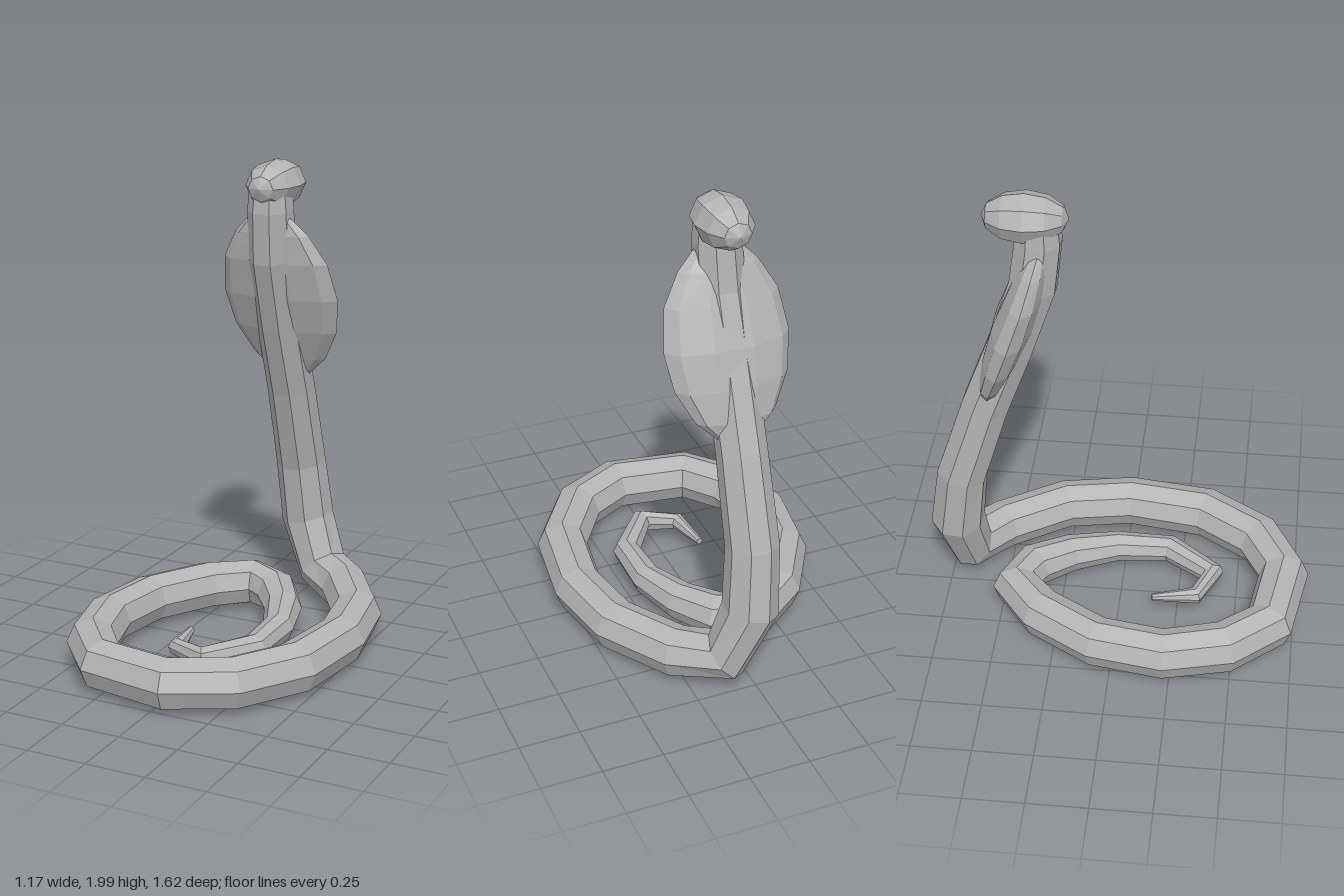
import * as THREE from 'three';

// Skin a list of rings (arrays of Vector3, counter-clockwise about the travel direction), capped at both ends
function skin(rings) {
  const n = rings[0].length, pos = [], index = [];
  const push = (v) => pos.push(v.x, v.y, v.z);
  rings.forEach((ring) => ring.forEach(push));
  for (let i = 0; i < rings.length - 1; i++) {
    for (let j = 0; j < n; j++) {
      const a = i * n + j, b = i * n + (j + 1) % n;
      index.push(a, b, b + n, a, b + n, a + n);
    }
  }
  [0, rings.length - 1].forEach((r) => {
    const c = pos.length / 3;
    push(rings[r].reduce((s, v) => s.add(v), new THREE.Vector3()).divideScalar(n));
    for (let j = 0; j < n; j++) {
      const a = r * n + j, b = r * n + (j + 1) % n;
      if (r === 0) index.push(c, b, a); else index.push(c, a, b);
    }
  });
  const g = new THREE.BufferGeometry();
  g.setAttribute('position', new THREE.Float32BufferAttribute(pos, 3));
  g.setIndex(index);
  g.computeVertexNormals();
  return g;
}

// Round tube of changing radius through [x, y, z, radius] stations, without twisting
function sweep(stations, sides) {
  const pts = stations.map((s) => new THREE.Vector3(s[0], s[1], s[2]));
  let normal = new THREE.Vector3(0, 1, 0);
  return skin(pts.map((p, i) => {
    const t = pts[Math.min(i + 1, pts.length - 1)].clone().sub(pts[Math.max(i - 1, 0)]).normalize();
    normal = normal.clone().addScaledVector(t, -normal.dot(t)).normalize();
    const side = t.clone().cross(normal);
    return Array.from({ length: sides }, (_, j) => {
      const a = (j / sides) * Math.PI * 2;
      return p.clone()
        .addScaledVector(normal, Math.cos(a) * stations[i][3])
        .addScaledVector(side, Math.sin(a) * stations[i][3]);
    });
  }));
}

export function createModel() {
  const model = new THREE.Group();
  model.name = 'snake';
  const grey = new THREE.MeshStandardMaterial({ color: 0xb3b3b3, flatShading: true });
  grey.name = 'grey';
  const add = (name, geometry) => {
    const mesh = new THREE.Mesh(geometry, grey);
    mesh.name = name;
    model.add(mesh);
    return mesh;
  };

  // Body: tail tip, inner coil, outer coil, then the raised neck
  add('body', sweep([
    [-0.135, 0.1, 0.145, 0.015], [-0.105, 0.1, 0.33, 0.036], [0.04, 0.1, 0.395, 0.05],
    [0.185, 0.1, 0.2, 0.058], [0.18, 0.1, -0.03, 0.065], [0.11, 0.105, -0.23, 0.08],
    [0.01, 0.11, -0.38, 0.092], [-0.13, 0.113, -0.44, 0.1], [-0.29, 0.115, -0.31, 0.103],
    [-0.44, 0.115, -0.06, 0.103], [-0.485, 0.115, 0.22, 0.103], [-0.42, 0.115, 0.47, 0.106],
    [-0.27, 0.115, 0.65, 0.106], [0.05, 0.115, 0.7, 0.108], [0.27, 0.115, 0.585, 0.108],
    [0.43, 0.115, 0.34, 0.108], [0.477, 0.115, 0, 0.105], [0.425, 0.115, -0.29, 0.105],
    [0.26, 0.115, -0.55, 0.105], [0.1, 0.14, -0.675, 0.11], [0.01, 0.36, -0.705, 0.115],
    [-0.01, 0.63, -0.67, 0.108], [-0.01, 1, -0.555, 0.102], [-0.01, 1.3, -0.445, 0.1],
    [-0.005, 1.6, -0.345, 0.1], [0, 1.8, -0.32, 0.096], [0, 1.92, -0.32, 0.085],
  ], 8));

  // Hood: flattened rings of [y, z, half width, half depth] climbing the neck
  const hood = [
    [1.06, -0.54, 0.08, 0.03], [1.14, -0.52, 0.165, 0.055], [1.27, -0.475, 0.235, 0.075],
    [1.42, -0.425, 0.26, 0.085], [1.58, -0.37, 0.235, 0.075], [1.7, -0.335, 0.165, 0.06],
    [1.77, -0.315, 0.095, 0.04],
  ];
  add('hood', skin(hood.map(([y, z, w, d]) => Array.from({ length: 10 }, (_, j) => {
    const a = (j / 10) * Math.PI * 2;
    return new THREE.Vector3(Math.cos(a) * w, y, z - Math.sin(a) * d);
  }))));

  // Head: faceted egg lying over the top of the neck, snout toward the back
  const egg = new THREE.SphereGeometry(1, 8, 6);
  egg.rotateX(-Math.PI / 2);
  egg.scale(0.112, 0.102, 0.17);
  const head = add('head', egg);
  head.position.set(0, 1.9, -0.37);

  return model;
}
